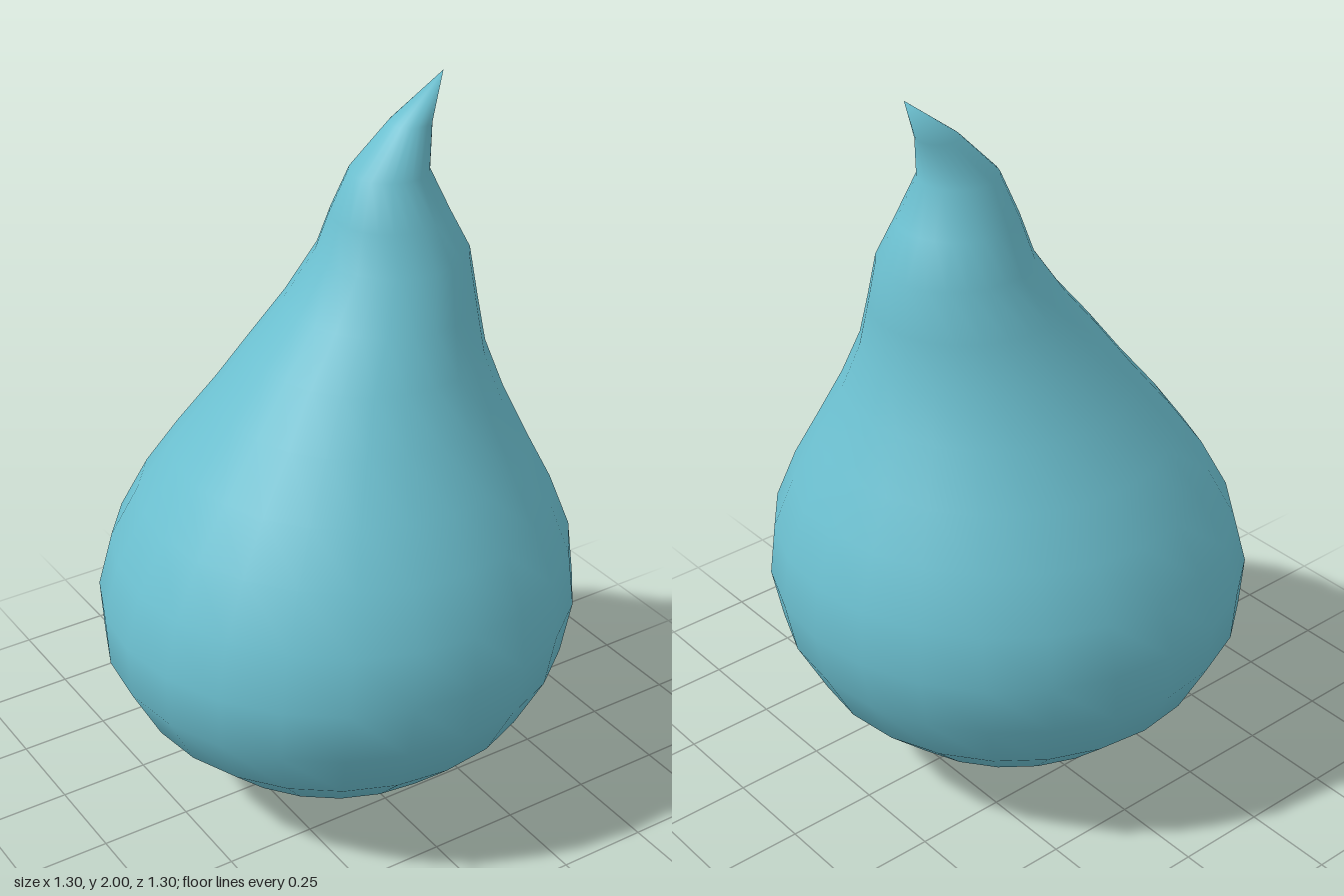
import * as THREE from 'three';
import { mergeVertices } from 'three/addons/utils/BufferGeometryUtils.js';

const SIDES = 24;

// Horizontal rings from base to tip: [height, left edge x, right edge x]
const RINGS = [
  [0, -0.03, 0.02], [0.07, -0.25, 0.22], [0.165, -0.425, 0.4],
  [0.3, -0.565, 0.54], [0.455, -0.645, 0.62], [0.605, -0.652, 0.65],
  [0.755, -0.61, 0.635], [0.9, -0.53, 0.58], [1.03, -0.435, 0.515],
  [1.17, -0.32, 0.45], [1.3, -0.22, 0.403], [1.42, -0.12, 0.387],
  [1.55, -0.03, 0.37], [1.655, 0.005, 0.315], [1.77, 0.053, 0.26],
  [1.885, 0.165, 0.275], [2, 0.317, 0.317],
];

// Turned profile whose rings are slid sideways to bend the tip
function bentDrop() {
  const profile = RINGS.map(([y, a, b]) => new THREE.Vector2((b - a) / 2, y));
  const lathe = new THREE.LatheGeometry(profile, SIDES);
  const pos = lathe.attributes.position;
  for (let i = 0; i < pos.count; i++) {
    const [, a, b] = RINGS[i % RINGS.length];
    pos.setX(i, pos.getX(i) + (a + b) / 2);
  }
  // Weld the seam so the shading is smooth all round
  lathe.deleteAttribute('normal');
  lathe.deleteAttribute('uv');
  const geometry = mergeVertices(lathe, 1e-4);
  geometry.computeVertexNormals();
  return geometry;
}

export function createModel() {
  const group = new THREE.Group();
  group.name = 'waterDrop';
  const teal = new THREE.MeshStandardMaterial({ color: 0x6cc0d0 });
  teal.name = 'waterTeal';

  const body = new THREE.Mesh(bentDrop(), teal);
  body.name = 'dropBody';
  group.add(body);

  // Small flat foot closing the underside
  const [, a, b] = RINGS[0];
  const foot = new THREE.Mesh(new THREE.CircleGeometry((b - a) / 2, SIDES), teal);
  foot.name = 'foot';
  foot.rotation.x = Math.PI / 2;
  foot.position.x = (a + b) / 2;
  group.add(foot);

  return group;
}
